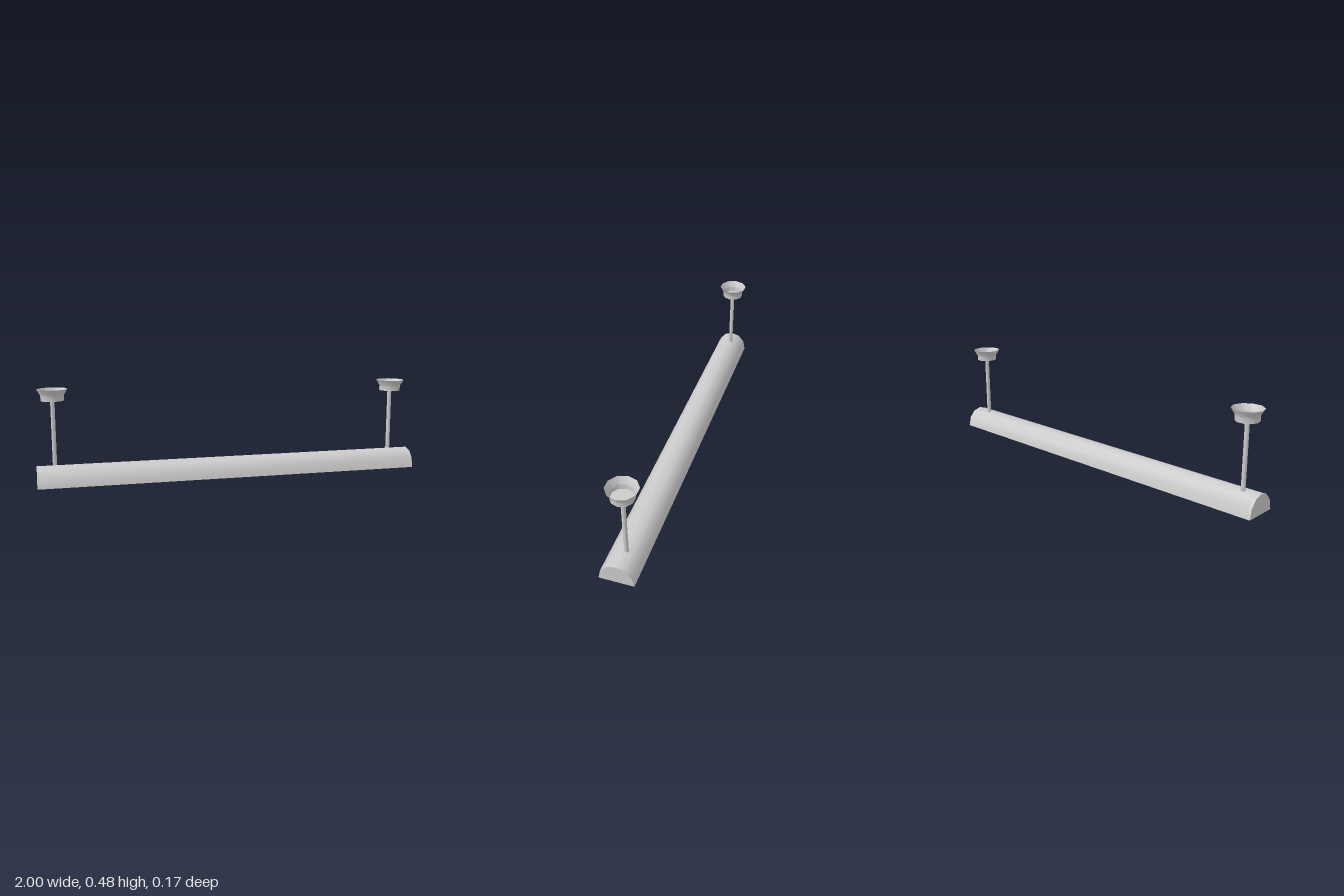
import * as THREE from 'three';
import { toCreasedNormals } from 'three/addons/utils/BufferGeometryUtils.js';

const material = new THREE.MeshStandardMaterial({ color: 0xcccccc, side: THREE.DoubleSide });

// Half of the domed cross-section, from the rim to the crown
const OUTER = [[0.085, 0], [0.074, 0.05], [0.043, 0.086], [0, 0.098]];
const INNER = [[0.073, 0], [0.064, 0.045], [0.037, 0.076], [0, 0.087]];
const mirrored = (half) => [...half, ...half.slice(0, -1).reverse().map(([z, y]) => [-z, y])]
  .map(([z, y]) => new THREE.Vector2(z, y));

function addMesh(parent, name, geometry, x = 0, y = 0, z = 0) {
  const mesh = new THREE.Mesh(geometry, material);
  mesh.name = name;
  mesh.position.set(x, y, z);
  parent.add(mesh);
  return mesh;
}

// Extrudes a cross-section along x, centred on x = 0
function extrudeAlongX(points, length) {
  const geometry = new THREE.ExtrudeGeometry(new THREE.Shape(points), { depth: length, bevelEnabled: false });
  geometry.translate(0, 0, -length / 2).rotateY(Math.PI / 2);
  return toCreasedNormals(geometry, 0.75);
}

export function createModel() {
  const model = new THREE.Group();
  model.name = 'hangingStripLight';

  // Hollow domed housing, open below, closed by an end cap on each side
  const outer = mirrored(OUTER);
  const inner = mirrored(INNER).reverse();
  const capWidth = 0.014;
  addMesh(model, 'housing', extrudeAlongX([...outer, ...inner], 2 - 2 * capWidth));
  for (const side of [-1, 1]) {
    addMesh(model, 'endCap', extrudeAlongX(outer, capWidth), side * (1 - capWidth / 2));
  }

  // Two lamp tubes under the dome
  for (const side of [-1, 1]) {
    const tube = new THREE.CylinderGeometry(0.019, 0.019, 1.98, 12).rotateZ(Math.PI / 2);
    addMesh(model, 'lampTube', tube, 0, 0.026, side * 0.034);
  }

  // Suspension rods with flared, open-topped ceiling cups
  const cupProfile = [[0, 0], [0.056, 0], [0.056, 0.026], [0.075, 0.057]].map(([r, y]) => new THREE.Vector2(r, y));
  for (const x of [-0.912, 0.893]) {
    const hanger = new THREE.Group();
    hanger.name = 'hanger';
    hanger.position.set(x, 0, -0.011);
    addMesh(hanger, 'rod', new THREE.CylinderGeometry(0.011, 0.011, 0.335, 10), 0, 0.2525, 0);
    const cup = new THREE.LatheGeometry(cupProfile, 10).rotateY(Math.PI / 2);
    addMesh(hanger, 'ceilingCup', toCreasedNormals(cup, 0.75), 0, 0.42, 0);
    model.add(hanger);
  }
  return model;
}
